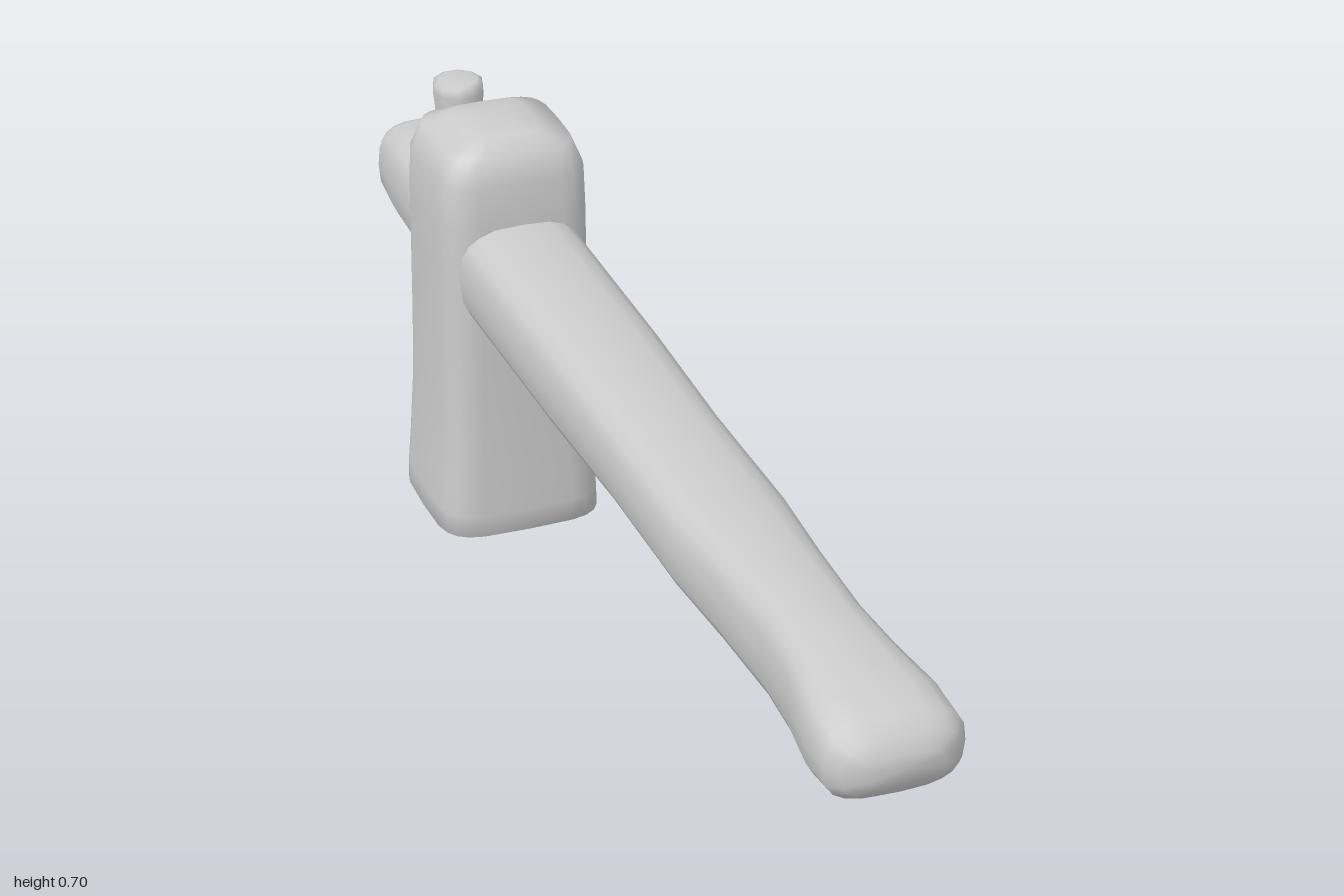
import * as THREE from 'three';

const material = new THREE.MeshStandardMaterial({ color: 0xcccccc });

// Smooth closed loft along y; rings are [y, centreZ, halfX, halfZ], section is a superellipse
function loft(rings, sides, power) {
  const pos = [], index = [];
  const sp = (v) => Math.sign(v) * Math.pow(Math.abs(v), 2 / power);
  for (const [y, cz, hx, hz] of rings) {
    for (let j = 0; j < sides; j++) {
      const a = (j / sides) * Math.PI * 2;
      pos.push(hx * sp(Math.cos(a)), y, cz + hz * sp(Math.sin(a)));
    }
  }
  const last = rings.length - 1;
  const bottom = rings.length * sides, top = bottom + 1;
  pos.push(0, rings[0][0], rings[0][1], 0, rings[last][0], rings[last][1]);
  for (let j = 0; j < sides; j++) {
    const k = (j + 1) % sides;
    for (let i = 0; i < last; i++) {
      const r = i * sides, s = r + sides;
      index.push(r + j, s + j, r + k, r + k, s + j, s + k);
    }
    index.push(bottom, j, k, top, last * sides + k, last * sides + j);
  }
  const g = new THREE.BufferGeometry();
  g.setAttribute('position', new THREE.Float32BufferAttribute(pos, 3));
  g.setIndex(index);
  g.computeVertexNormals();
  return g;
}

function part(name, geometry) {
  const mesh = new THREE.Mesh(geometry, material);
  mesh.name = name;
  return mesh;
}

export function createModel() {
  const group = new THREE.Group();
  group.name = 'mallet';

  // Upright head block: flared striking face at the bottom, rounded crown
  group.add(part('head', loft([
    [0, -0.6, 0.09, 0.09],
    [0.002, -0.6, 0.122, 0.122],
    [0.012, -0.6, 0.14, 0.139],
    [0.05, -0.599, 0.139, 0.138],
    [0.11, -0.598, 0.135, 0.134],
    [0.2, -0.597, 0.13, 0.13],
    [0.32, -0.597, 0.127, 0.127],
    [0.48, -0.597, 0.126, 0.125],
    [0.56, -0.597, 0.126, 0.123],
    [0.635, -0.597, 0.124, 0.119],
    [0.68, -0.597, 0.106, 0.104],
    [0.697, -0.597, 0.06, 0.07],
    [0.7, -0.597, 0.025, 0.03],
  ], 24, 4.5)));

  // Long shaft passing through the head, waisted near the grip end
  const handle = loft([
    [-1, 0, 0.045, 0.02],
    [-0.975, 0, 0.078, 0.053],
    [-0.935, 0, 0.095, 0.072],
    [-0.86, 0, 0.1, 0.084],
    [-0.72, 0, 0.103, 0.086],
    [-0.45, 0, 0.102, 0.086],
    [-0.1, 0, 0.098, 0.085],
    [0.15, 0, 0.093, 0.077],
    [0.4, 0, 0.094, 0.076],
    [0.55, 0, 0.083, 0.078],
    [0.7, 0, 0.076, 0.081],
    [0.8, 0, 0.084, 0.078],
    [0.9, 0, 0.1, 0.072],
    [0.965, 0, 0.1, 0.06],
    [0.985, 0, 0.085, 0.045],
    [1, 0, 0.055, 0.022],
  ], 20, 2.9);
  handle.rotateX(Math.PI / 2).translate(0, 0.48, 0);
  group.add(part('handle', handle));

  // Tapered locking pin behind the head
  group.add(part('pin', loft([
    [0.283, -0.774, 0.025, 0.025],
    [0.288, -0.774, 0.033, 0.033],
    [0.3, -0.774, 0.035, 0.035],
    [0.4, -0.774, 0.035, 0.036],
    [0.56, -0.775, 0.034, 0.031],
    [0.667, -0.785, 0.043, 0.044],
    [0.682, -0.786, 0.041, 0.042],
    [0.687, -0.786, 0.032, 0.033],
  ], 10, 2)));

  return group;
}
